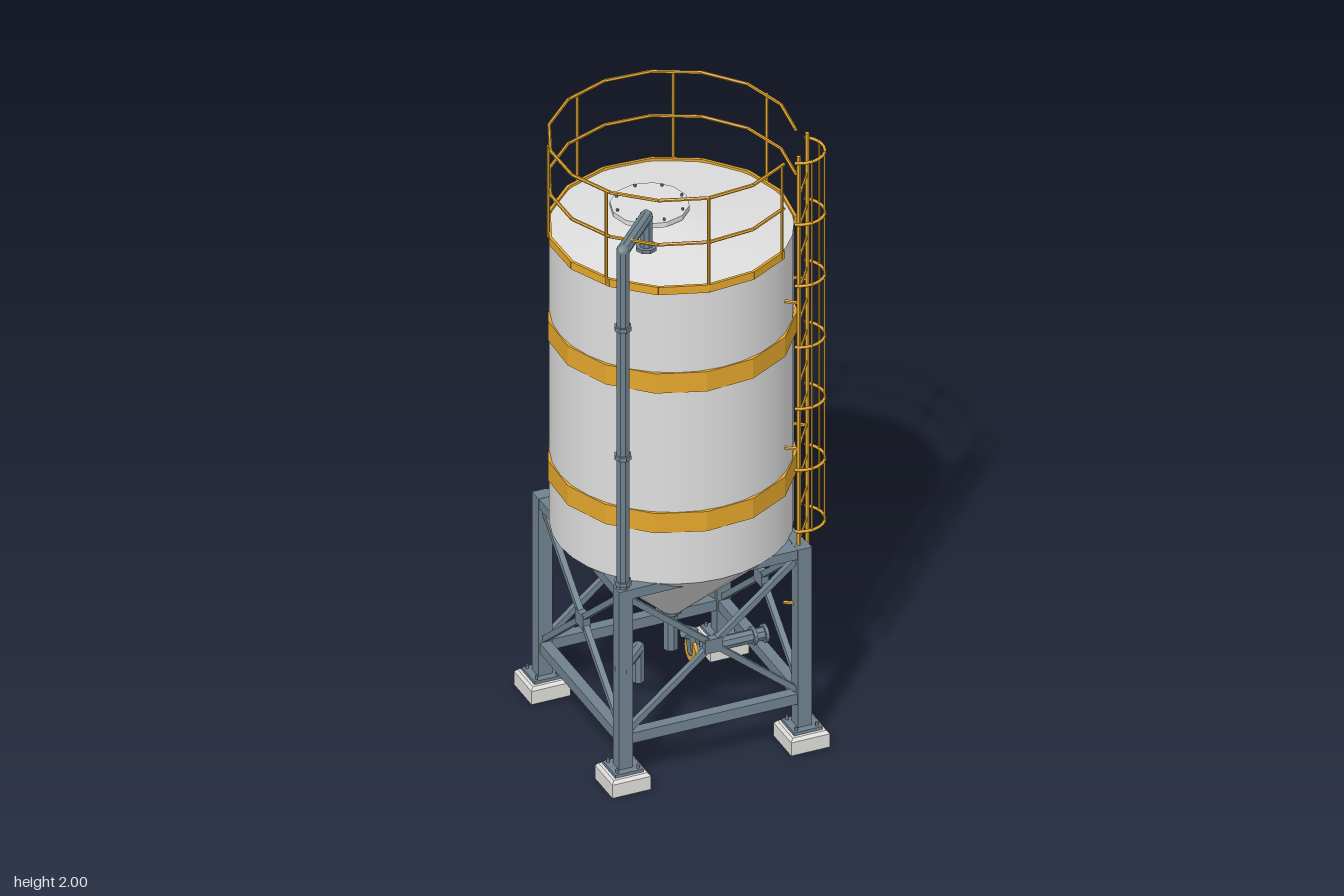
import * as THREE from 'three';

const mat = (name, color) => Object.assign(new THREE.MeshStandardMaterial({ color }), { name });
const V = (x, y, z) => new THREE.Vector3(x, y, z);
const rad = THREE.MathUtils.degToRad;
const CX = -0.012; // tank axis

export function createModel() {
  const shell = mat('light grey shell', 0xdedede);
  const yellow = mat('safety yellow', 0xe4a62c);
  const steel = mat('blue grey steel', 0x6f828e);
  const concrete = mat('concrete', 0xe0dfdc);

  const model = new THREE.Group();
  const group = (name, parent = model) => {
    const g = new THREE.Group();
    g.name = name;
    parent.add(g);
    return g;
  };
  const put = (parent, name, geo, m, x = 0, y = 0, z = 0) => {
    const mesh = new THREE.Mesh(geo, m);
    mesh.name = name;
    mesh.position.set(x, y, z);
    parent.add(mesh);
    return mesh;
  };
  const faceted = (geo) => {
    const g = geo.toNonIndexed();
    g.computeVertexNormals();
    return g;
  };
  const cyl = (r1, r2, h, n, open = false) => new THREE.CylinderGeometry(r1, r2, h, n, 1, open);
  // straight faceted rod between two points
  const rod = (parent, name, a, b, r, m, sides = 6) => {
    const d = b.clone().sub(a);
    const mesh = put(parent, name, faceted(cyl(r, r, d.length(), sides)), m);
    mesh.position.copy(a).addScaledVector(d, 0.5);
    mesh.quaternion.setFromUnitVectors(V(0, 1, 0), d.normalize());
  };
  // rectangular section beam between two points
  const beam = (parent, name, a, b, w, h, m) => {
    const mesh = put(parent, name, new THREE.BoxGeometry(w, h, a.distanceTo(b)), m);
    mesh.position.copy(a).lerp(b, 0.5);
    mesh.quaternion.setFromRotationMatrix(new THREE.Matrix4().lookAt(b, a, V(0, 1, 0)));
  };
  // pipe run with rounded joints at the bends
  const pipe = (parent, name, pts, r) => {
    for (let i = 1; i < pts.length; i++) {
      rod(parent, name, pts[i - 1], pts[i], r, steel, 8);
      if (i < pts.length - 1) put(parent, name + 'Elbow', new THREE.SphereGeometry(r * 1.04, 8, 6), steel, ...pts[i].toArray());
    }
  };

  // Tank: body, shallow roof, discharge cone, painted bands
  const tank = group('tank');
  tank.position.x = CX;
  put(tank, 'body', cyl(0.357, 0.357, 1.012, 32, true), shell, 0, 1.176, 0);
  put(tank, 'roof', cyl(0.01, 0.357, 0.036, 32, true), shell, 0, 1.7, 0);
  put(tank, 'hopper', cyl(0.357, 0.035, 0.3, 32), shell, 0, 0.52, 0);
  put(tank, 'outlet', faceted(cyl(0.023, 0.023, 0.16, 8)), steel, -0.003, 0.315, 0);
  put(tank, 'outletCollar', faceted(cyl(0.038, 0.03, 0.035, 8)), steel, 0, 0.375, 0);
  for (const y of [0.882, 1.36]) {
    const band = put(tank, 'band', faceted(cyl(0.367, 0.367, 0.067, 15)), yellow, 0, y, 0);
    band.rotation.y = rad(40);
  }

  // Manhole with bolted lid
  const hatch = group('manhole');
  hatch.position.set(-0.06, 0, -0.05);
  put(hatch, 'neck', cyl(0.09, 0.09, 0.05, 12), shell, 0, 1.7, 0);
  put(hatch, 'lid', faceted(cyl(0.117, 0.117, 0.016, 12)), shell, 0, 1.73, 0);
  for (let i = 0; i < 8; i++) {
    const a = (i * Math.PI) / 4;
    put(hatch, 'bolt', cyl(0.004, 0.004, 0.008, 6), steel, 0.103 * Math.cos(a), 1.741, 0.103 * Math.sin(a));
  }

  // Guard rail and toe board, open at the ladder
  const guard = group('guardRail');
  const at = (deg, y) => V(CX + 0.363 * Math.cos(rad(deg)), y, 0.363 * Math.sin(rad(deg)));
  for (let i = 0; i < 14; i++) {
    const a = 50 + i * 23.5, b = a + 23.5;
    for (const y of [1.834, 1.985]) rod(guard, 'rail', at(a, y), at(b, y), 0.0055, yellow);
    beam(guard, 'toeBoard', at(a, 1.677), at(b, 1.677), 0.009, 0.026, yellow);
  }
  for (const a of [52, 97, 146, 196, 245, 295, 344]) rod(guard, 'post', at(a, 1.67), at(a, 1.985), 0.005, yellow);

  // Support frame: four legs on footings
  const frame = group('supportFrame');
  frame.position.x = CX + 0.001;
  const L = 0.286;
  for (const sx of [-1, 1]) for (const sz of [-1, 1]) {
    const x = sx * L, z = sz * L;
    put(frame, 'footing', new THREE.BoxGeometry(0.124, 0.045, 0.124), concrete, x, 0.0225, z);
    const top = put(frame, 'footingTop', faceted(cyl(0.108 / Math.SQRT2, 0.124 / Math.SQRT2, 0.01, 4)), concrete, x, 0.05, z);
    top.rotation.y = Math.PI / 4;
    put(frame, 'basePlate', new THREE.BoxGeometry(0.09, 0.01, 0.09), steel, x, 0.06, z);
    put(frame, 'leg', new THREE.BoxGeometry(0.045, 0.61, 0.045), steel, x, 0.367, z);
    for (const bx of [-1, 1]) for (const bz of [-1, 1])
      put(frame, 'anchorBolt', cyl(0.005, 0.005, 0.014, 6), steel, x + bx * 0.033, 0.07, z + bz * 0.033);
    // triangular corner gusset under the tank
    const tri = new THREE.Shape([new THREE.Vector2(0, 0), new THREE.Vector2(0.15, 0), new THREE.Vector2(0, 0.15)]);
    const gusset = put(frame, 'gusset', new THREE.ExtrudeGeometry(tri, { depth: 0.012, bevelEnabled: false }), steel, x, 0.669, z);
    gusset.rotation.set(Math.PI / 2, 0, Math.atan2(-sz, -sx) - Math.PI / 4);
  }
  // beams and crossed braces on each side
  for (let i = 0; i < 4; i++) {
    const side = group('side', frame);
    side.rotation.y = (i * Math.PI) / 2;
    beam(side, 'topBeam', V(-L, 0.655, L), V(L, 0.655, L), 0.04, 0.032, steel);
    beam(side, 'lowerBeam', V(-L, 0.16, L), V(L, 0.16, L), 0.035, 0.035, steel);
    for (const [y0, y1] of [[0.17, 0.645], [0.645, 0.17]])
      beam(side, 'brace', V(-L, y0, L), V(L, y1, L), 0.018, 0.018, steel);
    put(side, 'bracePlate', new THREE.BoxGeometry(0.056, 0.046, 0.024), steel, 0, 0.406, L);
  }

  // Filling pipe up the corner and over the roof
  const fill = group('fillPipe');
  pipe(fill, 'pipe', [V(-0.21, 0.285, 0.2), V(-0.21, 0.395, 0.2), V(-0.296, 0.395, 0.283),
    V(-0.296, 1.822, 0.283), V(-0.156, 1.822, 0.138), V(-0.156, 1.71, 0.138)], 0.02);
  for (const y of [0.395, 0.69, 1.12, 1.56])
    put(fill, 'collar', faceted(cyl(0.026, 0.026, 0.014, 8)), steel, -0.296, y, 0.283);
  put(fill, 'roofFlange', faceted(cyl(0.032, 0.032, 0.012, 8)), steel, -0.156, 1.718, 0.138);

  // Conveying pipe below the outlet, with a painted flange
  const feed = group('dischargePipe');
  pipe(feed, 'pipe', [V(0.03, 0.277, -0.005), V(0.055, 0.262, -0.005), V(0.062, 0.205, -0.005), V(0.29, 0.205, -0.005)], 0.021);
  for (const [x, r, m] of [[0.054, 0.042, yellow], [0.064, 0.034, steel], [0.25, 0.028, steel], [0.287, 0.028, steel]]) {
    const disc = put(feed, 'flange', faceted(cyl(r, r, 0.01, 12)), m, x, 0.205, -0.005);
    disc.rotation.z = Math.PI / 2;
  }

  // Caged ladder, built facing +z and turned to its corner
  const ladder = group('ladder');
  ladder.position.set(0.306, 0, 0.225);
  ladder.rotation.y = rad(55);
  const W = 0.067, R = 0.074, Z = -0.01;
  for (const s of [-1, 1]) {
    rod(ladder, 'stile', V(s * W, 0.13, 0), V(s * W, 2, 0), 0.007, yellow);
    for (const y of [0.47, 1.0, 1.5]) rod(ladder, 'standoff', V(s * W, y, 0), V(s * W, y, -0.045), 0.006, yellow);
  }
  for (let y = 0.15; y < 1.9; y += 0.107) rod(ladder, 'rung', V(-W, y, 0), V(W, y, 0), 0.004, yellow);
  for (let i = 0; i < 7; i++) {
    const hoop = put(ladder, 'cageHoop', new THREE.TorusGeometry(R, 0.005, 6, 14, Math.PI), yellow, 0, 0.72 + i * 0.21, Z);
    hoop.rotation.x = Math.PI / 2;
  }
  for (const a of [-50, 0, 50]) {
    const x = R * Math.sin(rad(a)), z = Z + R * Math.cos(rad(a));
    rod(ladder, 'cageBar', V(x, 0.72, z), V(x, 1.985, z), 0.0035, yellow);
  }
  return model;
}
